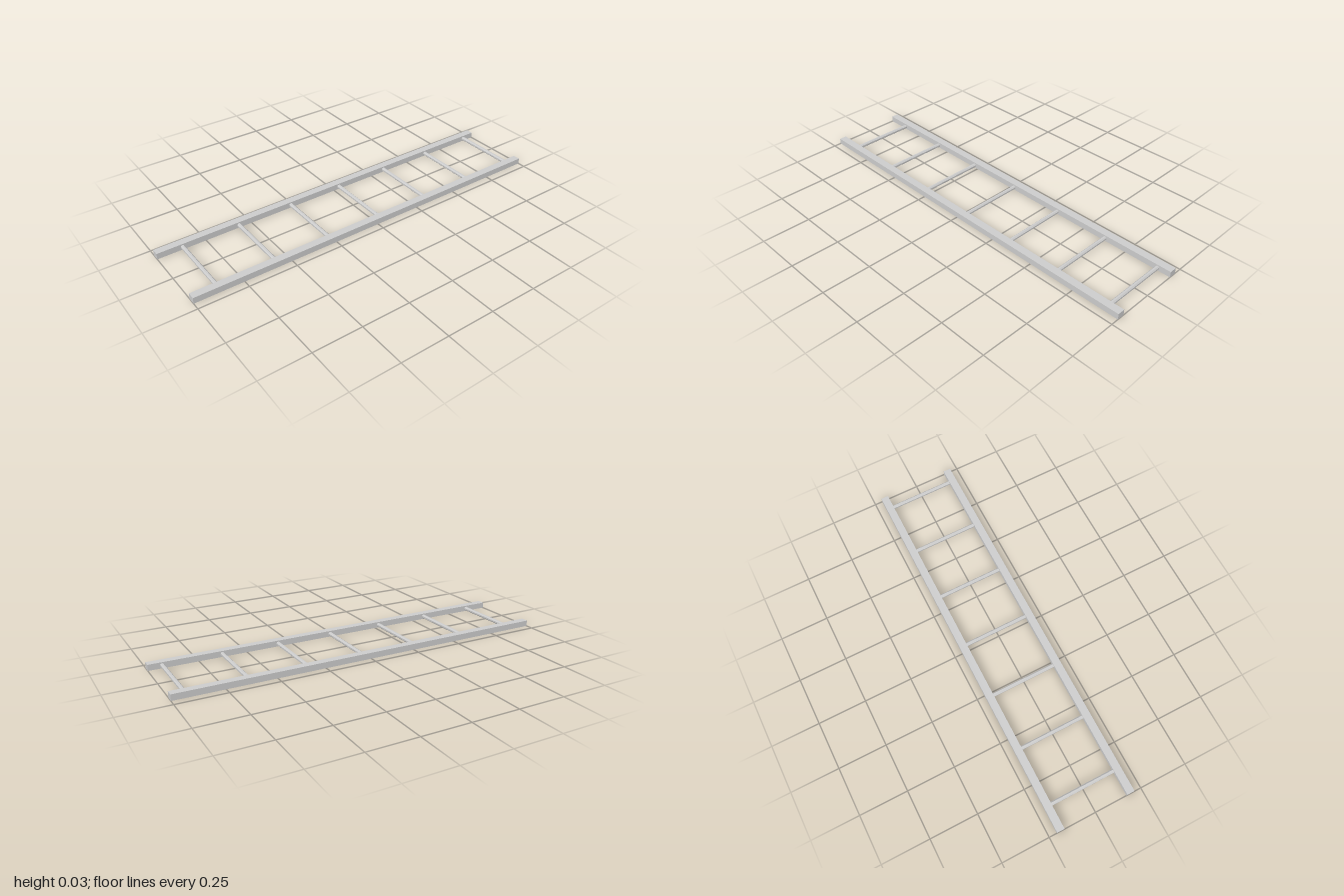
import * as THREE from 'three';

export function createModel() {
  const group = new THREE.Group();
  const material = new THREE.MeshStandardMaterial({ color: 0xcccccc, flatShading: true });
  const height = 0.031, railWidth = 0.039, railX = 0.19;

  // Two long side rails
  const railGeometry = new THREE.BoxGeometry(railWidth, height, 2);
  for (const side of [-1, 1]) {
    const rail = new THREE.Mesh(railGeometry, material);
    rail.name = side > 0 ? 'leftRail' : 'rightRail';
    rail.position.set(side * railX, height / 2, 0);
    group.add(rail);
  }

  // Seven evenly spaced eight-sided rungs, ends set into the rails
  const rungGeometry = new THREE.CylinderGeometry(0.0105, 0.0105, railX * 2, 8);
  rungGeometry.rotateY(Math.PI / 8).rotateZ(Math.PI / 2);
  for (let i = 0; i < 7; i++) {
    const rung = new THREE.Mesh(rungGeometry, material);
    rung.name = `rung${i + 1}`;
    rung.position.set(0, height / 2, -0.93 + i * 0.3);
    group.add(rung);
  }
  return group;
}
